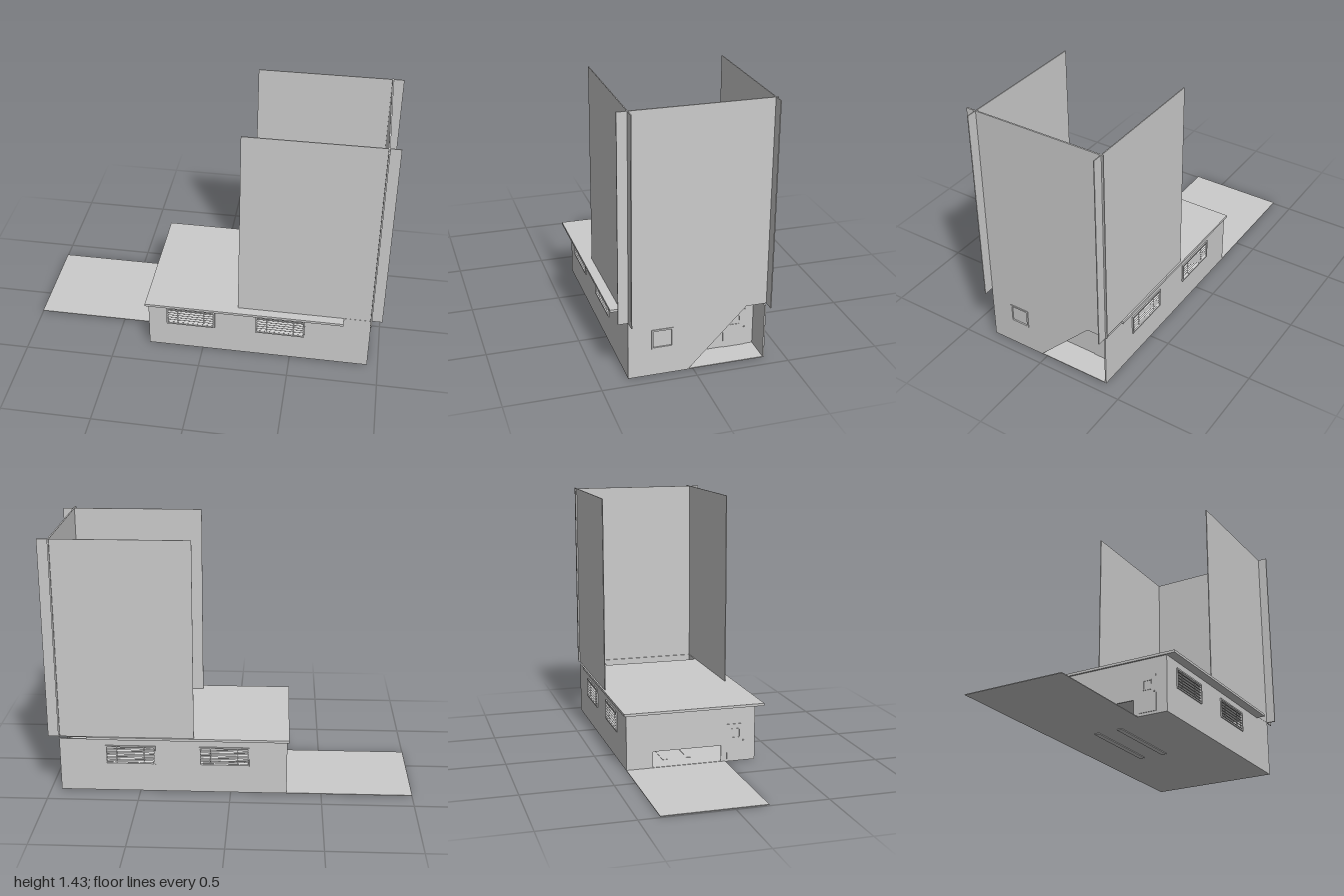
import * as THREE from 'three';

const material = new THREE.MeshStandardMaterial({ color: 0xcccccc, side: THREE.DoubleSide });
const T = 0.008; // wall thickness

function add(parent, name, geometry, x = 0, y = 0, z = 0) {
  const mesh = new THREE.Mesh(geometry, material);
  mesh.name = name;
  mesh.position.set(x, y, z);
  parent.add(mesh);
  return mesh;
}

// Box given by its low and high corners
function block(parent, name, [x0, y0, z0], [x1, y1, z1]) {
  return add(parent, name, new THREE.BoxGeometry(x1 - x0, y1 - y0, z1 - z0),
    (x0 + x1) / 2, (y0 + y1) / 2, (z0 + z1) / 2);
}

const rect = (a0, b0, a1, b1) => [[a0, b0], [a1, b0], [a1, b1], [a0, b1]];
const points = list => list.map(p => new THREE.Vector2(...p));

// Flat panel with rectangular openings
function panel(outline, holes = [], depth = T) {
  const shape = new THREE.Shape(points(outline));
  for (const h of holes) shape.holes.push(new THREE.Path(points(rect(...h))));
  return new THREE.ExtrudeGeometry(shape, { depth, bevelEnabled: false });
}

// Panel drawn in (z, y) whose outer face lies at x
const sideWall = (parent, name, x, outline, holes) =>
  add(parent, name, panel(outline, holes).rotateY(-Math.PI / 2), x);

// Frame centred on the origin, facing +z
function frame(parent, name, w, h, border, z0, depth) {
  const a = w / 2, b = h / 2;
  add(parent, name, panel(rect(-a, -b, a, b),
    [[-a + border, -b + border, a - border, b - border]], depth), 0, 0, z0);
}

function place(parent, group, name, x, y, z, turn) {
  group.name = name;
  group.position.set(x, y, z);
  group.rotation.y = turn;
  parent.add(group);
}

function louvreWindow() {
  const g = new THREE.Group();
  frame(g, 'windowFrame', 0.276, 0.112, 0.008, -0.009, 0.016);
  for (const x of [-0.075, 0.075]) block(g, 'mullion', [x - 0.002, -0.05, -0.006], [x + 0.002, 0.05, 0]);
  for (let i = 0; i < 6; i++) {
    const slat = add(g, 'slat', new THREE.BoxGeometry(0.262, 0.002, 0.012), 0, -0.04 + i * 0.016, -0.002);
    slat.rotation.x = 0.5;
  }
  return g;
}

function squareWindow() {
  const g = new THREE.Group();
  frame(g, 'windowFrame', 0.114, 0.11, 0.009, -0.012, 0.016);
  block(g, 'pane', [-0.05, -0.048, -0.006], [0.05, 0.048, -0.004]);
  return g;
}

// Origin at the bottom centre
function door(w, h) {
  const g = new THREE.Group();
  block(g, 'doorLeaf', [-w / 2, 0, -0.002], [w / 2, h, 0.002]);
  const light = new THREE.Group();
  frame(light, 'doorWindowFrame', w * 0.5, 0.055, 0.005, 0, 0.005);
  place(g, light, 'doorWindow', 0, h * 0.73, 0, 0);
  add(g, 'doorKnob', new THREE.SphereGeometry(0.004, 10, 8), w * 0.43, h * 0.52, 0.005);
  return g;
}

export function createModel() {
  const model = new THREE.Group();
  const X0 = -0.31, X1 = 0.94, XS = 0.79, Z0 = -0.388, Z1 = 0.348, Y0 = 0.005, Y1 = 0.325;

  // Ground level
  block(model, 'floor', [X0, Y0, Z0], [X1, 0.01, Z1]);
  block(model, 'driveway', [-1, 0.004, -0.388], [X0, 0.008, 0.175]);
  for (const z of [-0.14, 0]) block(model, 'floorTrack', [-0.2, 0, z - 0.015], [0.28, 0.012, z + 0.015]);

  // Long walls with louvred windows
  const hole = cx => [cx - 0.132, 0.168, cx + 0.132, 0.272];
  const frontX = [-0.068, 0.44], backX = [0.035, 0.55];
  add(model, 'frontWall', panel(rect(X0, Y0, X1, Y1), frontX.map(hole)), 0, 0, Z1 - T);
  add(model, 'backWall', panel(rect(X0, Y0, X1, 0.312), backX.map(hole)), 0, 0, Z0);
  for (const x of frontX) place(model, louvreWindow(), 'frontWindow', x, 0.22, Z1, 0);
  for (const x of backX) place(model, louvreWindow(), 'backWindow', x, 0.22, Z0, Math.PI);

  // Garage end with a raised shutter and a side door
  sideWall(model, 'garageWall', X0 + T, rect(Z0, Y0, Z1, Y1), [[-0.24, 0.01, 0.15, 0.1]]);
  place(model, door(0.1, 0.2), 'sideDoor', X0 - 0.002, 0.02, 0.235, -Math.PI / 2);

  // Stair end: cut-away outer wall and an inner wall with a door
  sideWall(model, 'stairOuterWall', X1,
    [[Z1, Y0], [0.03, Y0], [-0.28, Y1], [Z1, Y1]], [[0.118, 0.162, 0.218, 0.258]]);
  place(model, squareWindow(), 'stairWindow', X1, 0.21, 0.168, Math.PI / 2);
  sideWall(model, 'innerWall', XS, rect(Z0, Y0, Z1, Y1));
  place(model, door(0.124, 0.212), 'stairDoor', XS + 0.002, 0.008, -0.275, Math.PI / 2);

  // Staircase
  const steps = 16, run = 0.315 / steps, rise = 0.315 / steps;
  for (let i = 0; i < steps; i++) {
    const z = 0.045 - i * run, y = 0.01 + (i + 1) * rise;
    block(model, 'stairTread', [XS, y - 0.004, z - run], [X1 - T, y, z + 0.002]);
  }
  for (const x of [XS, X1 - 0.014]) {
    sideWall(model, 'stairStringer', x + T, [[0.05, Y0], [0.03, Y0], [-0.28, Y1], [-0.26, Y1]]);
  }

  // Barrels in the stairwell
  for (const z of [0.23, 0.295]) {
    add(model, 'barrel', new THREE.CylinderGeometry(0.028, 0.028, 0.085, 20), 0.903, 0.0525, z);
  }

  // Roof slab
  block(model, 'roof', [-0.32, 0.312, -0.4], [XS, 0.326, 0.4]);

  // Tall crossing screen walls above the roof
  const top = 1.433, low = 0.326;
  block(model, 'frontScreen', [0.2, low, Z1 - 0.005], [1, top, Z1]);
  block(model, 'backScreen', [0.2, low, Z0 - 0.003], [1, top, Z0 + 0.002]);
  block(model, 'sideScreen', [X1 - 0.005, low, -0.4], [X1 + 0.003, top, 0.4]);

  return model;
}
